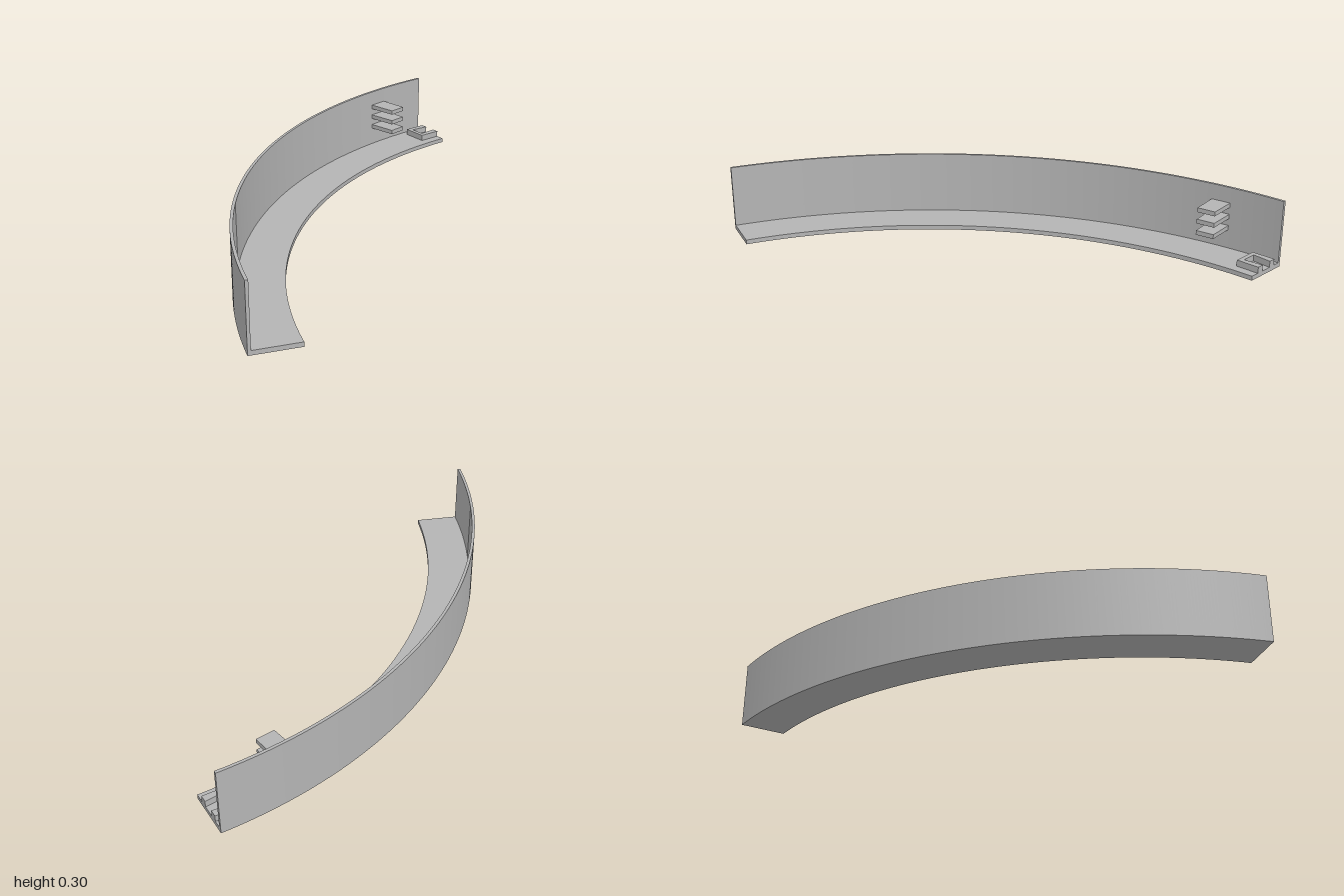
import * as THREE from 'three';
import { toCreasedNormals } from 'three/addons/utils/BufferGeometryUtils.js';

const CX = 1, CZ = 1.392;            // centre of the curve
const OUTER = 2.128, WALL_IN = 2.115, INNER = 1.92;
const rad = THREE.MathUtils.degToRad;

// Lays a plan shape (x, -z) flat and raises it from y0 to y1
function slab(shape, y0, y1, segments) {
  const geo = new THREE.ExtrudeGeometry(shape, { depth: y1 - y0, bevelEnabled: false, curveSegments: segments });
  geo.rotateX(-Math.PI / 2);
  geo.translate(0, y0, 0);
  return toCreasedNormals(geo, rad(30));
}

// Ring sector; angles in degrees measured from the back towards the right
function sector(r0, r1, a0, a1, y0, y1, segments) {
  const shape = new THREE.Shape();
  const s = rad(90 + a0), e = rad(90 + a1);
  shape.absarc(CX, -CZ, r1, s, e, false);
  shape.absarc(CX, -CZ, r0, e, s, true);
  return slab(shape, y0, y1, segments);
}

export function createModel() {
  const group = new THREE.Group();
  const grey = new THREE.MeshStandardMaterial({ color: 0xb4b4b4 });
  grey.name = 'grey';
  const add = (name, geo) => {
    const mesh = new THREE.Mesh(geo, grey);
    mesh.name = name;
    group.add(mesh);
  };

  // Curved upright wall and the floor ledge inside it
  add('wall', sector(WALL_IN, OUTER, 0, 70, 0, 0.298, 96));
  add('floor', sector(INNER, WALL_IN, 0, 70, 0, 0.02, 96));

  // Three short shelves standing out from the wall
  [0.104, 0.156, 0.208].forEach((y, i) =>
    add('shelf' + (i + 1), sector(1.98, WALL_IN + 0.002, 6.8, 9.2, y, y + 0.02, 4)));

  // Connector socket with a dovetail slot open at the end
  const zc = 0.63, socket = new THREE.Shape();
  [[1, -0.06], [1, -0.027], [0.914, -0.036], [0.914, 0.036], [1, 0.027], [1, 0.06], [0.894, 0.06], [0.894, -0.06]]
    .forEach(([x, d], i) => (i ? socket.lineTo(x, zc + d) : socket.moveTo(x, zc + d)));
  socket.closePath();
  add('connectorSocket', slab(socket, 0.019, 0.048, 1));

  return group;
}
